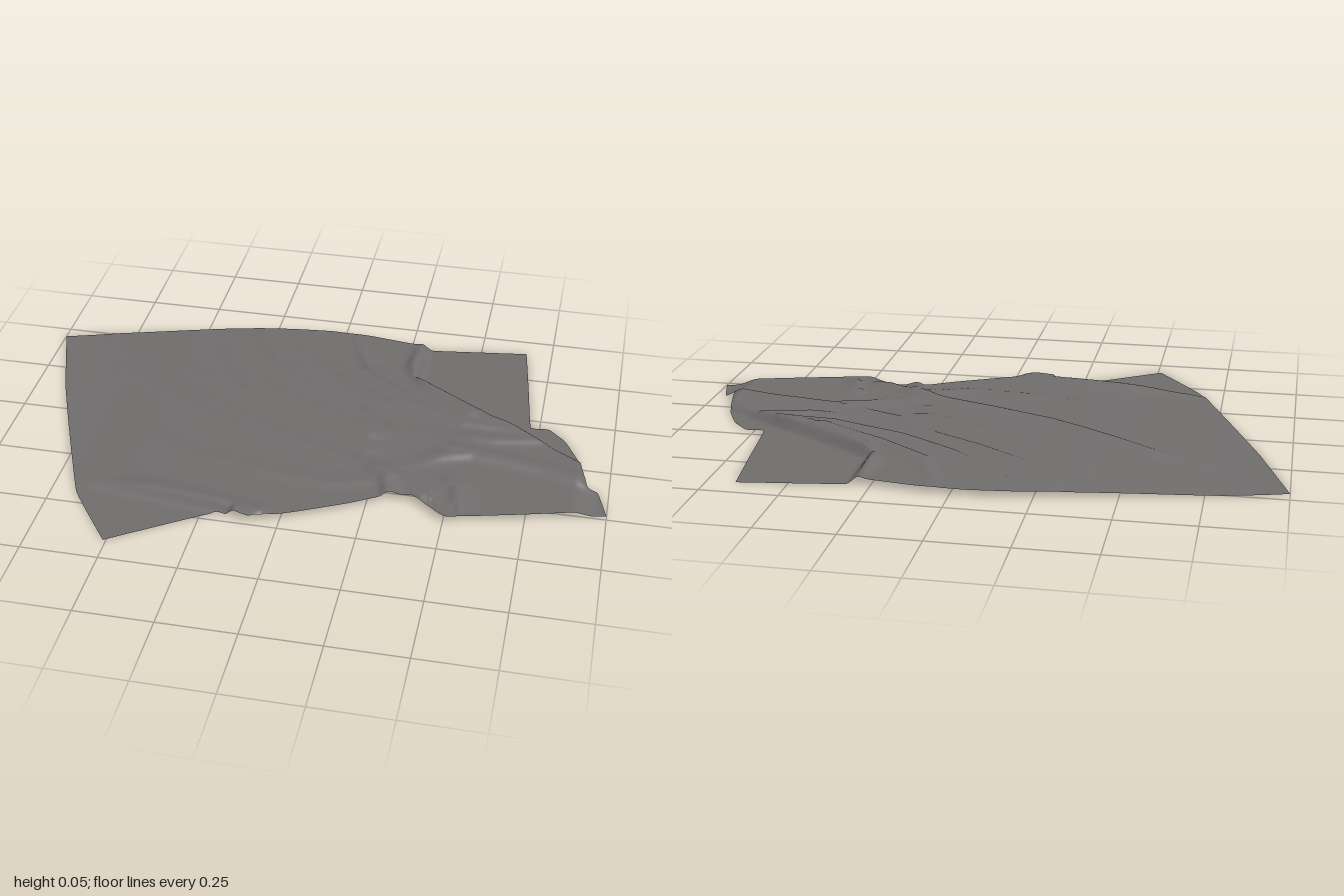
import * as THREE from 'three';

const smooth = THREE.MathUtils.smoothstep;

// Smooth border line through [x, z] points
const edge = (pts) => new THREE.CatmullRomCurve3(
  pts.map(([x, z]) => new THREE.Vector3(x, 0, z)), false, 'catmullrom', 0.15);

const back = edge([[-1, -0.45], [-0.8, -0.51], [-0.4, -0.6], [-0.2, -0.635], [-0.05, -0.65],
  [0.1, -0.645], [0.29, -0.62], [0.48, -0.645], [0.66, -0.67]]);
const front = edge([[-0.51, 0.665], [-0.21, 0.465], [-0.09, 0.49], [0.05, 0.43], [0.2, 0.355],
  [0.31, 0.29], [0.39, 0.28], [0.45, 0.32], [0.51, 0.36], [0.75, 0.3], [1, 0.23]]);
const leftSide = edge([[-1, -0.45], [-0.9, -0.14], [-0.8, 0.12], [-0.67, 0.44], [-0.58, 0.57], [-0.51, 0.665]]);
const rightSide = edge([[0.66, -0.67], [0.69, -0.44], [0.72, -0.21], [0.78, -0.21], [0.84, -0.15],
  [0.89, -0.05], [0.93, 0.11], [0.965, 0.115], [1, 0.23]]);

// Folds: height, width, then the [x, z] line of the crest
const folds = [
  [0.015, 0.05, [[-0.72, -0.27], [-0.55, -0.2], [-0.2, 0.0], [0.0, 0.08], [0.28, 0.18], [0.42, 0.27]]],
  [0.007, 0.05, [[-0.83, -0.43], [-0.6, -0.34], [-0.35, -0.2], [-0.1, -0.08], [0.2, 0.06]]],
  [0.012, 0.05, [[-0.38, -0.4], [-0.25, -0.24], [-0.1, -0.17], [0.05, -0.1], [0.2, -0.03]]],
  [0.014, 0.045, [[-0.3, -0.56], [-0.2, -0.41], [0.0, -0.28], [0.15, -0.2], [0.3, -0.07], [0.48, 0.0]]],
  [0.02, 0.04, [[-0.12, -0.49], [0.05, -0.36], [0.25, -0.24], [0.5, -0.15], [0.74, -0.14]]],
  [0.018, 0.035, [[0.05, -0.6], [0.13, -0.42], [0.3, -0.3], [0.5, -0.2], [0.68, -0.165]]],
  [0.026, 0.045, [[0.29, -0.63], [0.28, -0.46], [0.34, -0.35], [0.52, -0.21]]],
  [0.02, 0.045, [[0.36, 0.12], [0.46, 0.05], [0.55, 0.02], [0.78, 0.06], [0.95, 0.11]]],
  [0.02, 0.035, [[0.2, 0.14], [0.29, 0.2], [0.31, 0.28]]],
  [0.02, 0.045, [[-0.62, 0.41], [-0.4, 0.41], [-0.22, 0.44], [-0.08, 0.47]]],
  [0.008, 0.05, [[-0.5, 0.13], [-0.3, 0.21], [-0.1, 0.25], [0.1, 0.27], [0.28, 0.22]]],
  [0.014, 0.04, [[0.46, -0.08], [0.6, -0.07], [0.82, -0.12]]],
  [0.012, 0.04, [[0.45, 0.16], [0.52, 0.2], [0.53, 0.28]]],
];

// Crest profile, steeper on the side towards the front
function foldHeight(x, z, [height, width, line]) {
  let best = Infinity, side = 1, along = 0;
  for (let i = 0; i < line.length - 1; i++) {
    const [ax, az] = line[i], dx = line[i + 1][0] - ax, dz = line[i + 1][1] - az;
    const t = THREE.MathUtils.clamp(((x - ax) * dx + (z - az) * dz) / (dx * dx + dz * dz), 0, 1);
    const px = x - ax - t * dx, pz = z - az - t * dz, d = Math.hypot(px, pz);
    if (d < best) { best = d; side = dx * pz - dz * px; along = (i + t) / (line.length - 1); }
  }
  const w = side > 0 ? width * 0.5 : width;
  const taper = 0.25 + 0.75 * smooth(along, 0, 0.35);
  return height * taper * Math.exp(-((best / w) ** 2));
}

function clothHeight(x, z) {
  let h = 0.019 * smooth(x, -0.95, -0.25);
  for (const fold of folds) h += foldHeight(x, z, fold);
  h = 0.052 * Math.tanh(h / 0.045);
  // Corners that lie flat on the ground
  const backCorner = Math.min(x - 0.32, -0.14 - z + (x - 0.74) * 0.63);
  h *= 1 - smooth(backCorner, -0.035, 0.01);
  const frontCorner = Math.min(z - (0.455 + 0.1 * (x + 0.3)), -0.17 - x);
  h *= 1 - smooth(frontCorner, -0.03, 0.01);
  h *= 1 - smooth(x, 0.89, 0.97);
  return Math.max(h, 0) + 0.001;
}

export function createModel() {
  const group = new THREE.Group();
  group.name = 'crumpledCloth';
  const fabric = new THREE.MeshStandardMaterial({ color: 0x6f6c6c, side: THREE.DoubleSide });
  fabric.name = 'grey fabric';

  // Sheet stretched between the four border lines
  const cols = 220, rows = 150;
  const geometry = new THREE.PlaneGeometry(1, 1, cols, rows);
  const pos = geometry.attributes.position;
  const sample = (curve, n) => { curve.arcLengthDivisions = 600; return curve.getSpacedPoints(n); };
  const B = sample(back, cols), F = sample(front, cols);
  const L = sample(leftSide, rows), R = sample(rightSide, rows);
  const p = new THREE.Vector3(), chord = new THREE.Vector3();
  for (let j = 0; j <= rows; j++) {
    const v = j / rows;
    for (let i = 0; i <= cols; i++) {
      const u = i / cols;
      p.lerpVectors(B[i], F[i], v);
      chord.lerpVectors(L[0], L[rows], v);
      p.addScaledVector(chord.sub(L[j]), -((1 - u) ** 2));
      chord.lerpVectors(R[0], R[rows], v);
      p.addScaledVector(chord.sub(R[j]), -(u ** 4));
      pos.setXYZ(j * (cols + 1) + i, p.x, clothHeight(p.x, p.z), p.z);
    }
  }
  geometry.computeVertexNormals();
  const cloth = new THREE.Mesh(geometry, fabric);
  cloth.name = 'cloth';
  group.add(cloth);
  return group;
}
